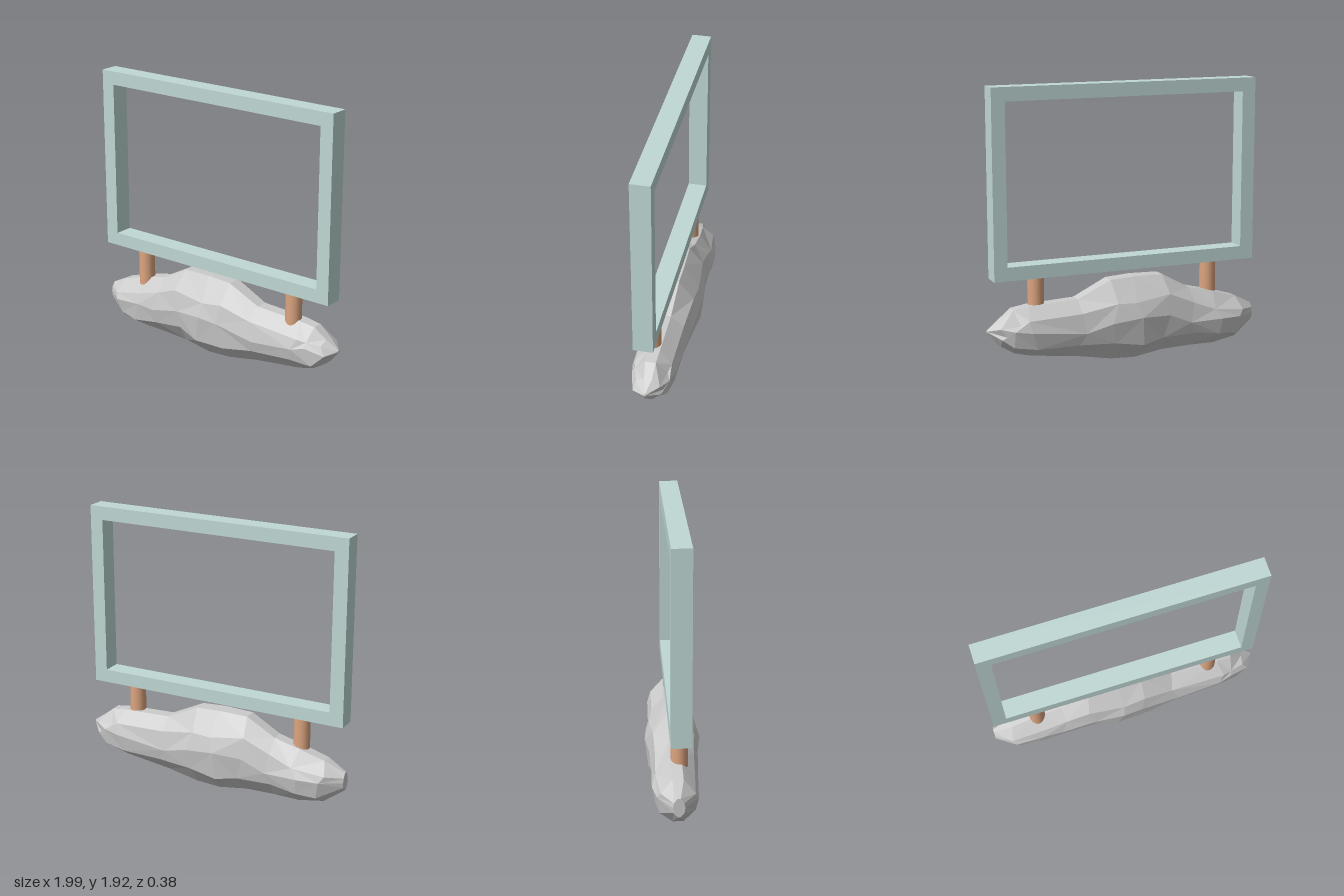
import * as THREE from 'three';

const mat = (color, flatShading = false) => new THREE.MeshStandardMaterial({ color, flatShading });

// Boulder: faceted loft along x through uneven ten-sided sections
function rockGeometry() {
  // x, bottom, top, back z, front z
  const sections = [
    [-0.99, 0.16, 0.29, -0.04, 0.04],
    [-0.85, 0.062, 0.36, -0.135, 0.135],
    [-0.67, 0.036, 0.415, -0.165, 0.145],
    [-0.48, 0.036, 0.46, -0.16, 0.15],
    [-0.27, 0.03, 0.575, -0.17, 0.165],
    [-0.06, 0.0, 0.58, -0.195, 0.19],
    [0.12, 0.008, 0.57, -0.183, 0.178],
    [0.36, 0.052, 0.455, -0.16, 0.155],
    [0.71, 0.097, 0.44, -0.155, 0.15],
    [0.82, 0.125, 0.425, -0.135, 0.128],
    [0.91, 0.18, 0.355, -0.105, 0.095],
    [0.995, 0.275, 0.295, -0.01, 0.01],
  ];
  // Unit outline: z, y
  const half = [[0.27, 1], [0.84, 0.5], [1, 0.02], [0.87, -0.55], [0.27, -1]];
  const ring = [...half, ...half.slice().reverse().map(([z, y]) => [-z, y])];
  const n = ring.length, last = sections.length - 1;
  const pos = [], index = [];
  sections.forEach(([x, lo, hi, back, front], i) => {
    const inner = i > 0 && i < last;
    ring.forEach(([z, y], j) => {
      const shift = inner && Math.abs(y) < 1 ? 0.03 * Math.sin(i * 2.3 + j * 1.9) : 0;
      const lift = inner && Math.abs(y) < 1 ? 0.02 * Math.sin(i * 1.7 + j * 2.6) : 0;
      pos.push(
        x + shift,
        (lo + hi) / 2 + y * (hi - lo) / 2 + lift,
        (front + back) / 2 + z * (front - back) / 2
      );
    });
  });
  for (let i = 0; i < last; i++) {
    for (let j = 0; j < n; j++) {
      const a = i * n + j, b = i * n + (j + 1) % n, c = a + n, d = b + n;
      if ((i + j) % 2) index.push(a, b, c, b, d, c);
      else index.push(a, b, d, a, d, c);
    }
  }
  // End facets
  for (let j = 1; j < n - 1; j++) {
    index.push(0, j + 1, j);
    index.push(last * n, last * n + j, last * n + j + 1);
  }
  const geo = new THREE.BufferGeometry();
  geo.setAttribute('position', new THREE.Float32BufferAttribute(pos, 3));
  geo.setIndex(index);
  const flat = geo.toNonIndexed();
  flat.computeVertexNormals();
  return flat;
}

function rectangle(Type, x0, y0, x1, y1) {
  return new Type([[x0, y0], [x1, y0], [x1, y1], [x0, y1]].map(p => new THREE.Vector2(...p)));
}

export function createModel() {
  const model = new THREE.Group();
  model.name = 'signStand';

  const rock = new THREE.Mesh(rockGeometry(), mat(0xcccccc, true));
  rock.name = 'rockBase';
  model.add(rock);

  // Rectangular open frame
  const outline = rectangle(THREE.Shape, -0.978, 0.63, 0.952, 1.925);
  outline.holes.push(rectangle(THREE.Path, -0.88, 0.724, 0.858, 1.83));
  const frame = new THREE.Mesh(
    new THREE.ExtrudeGeometry(outline, { depth: 0.134, bevelEnabled: false }),
    mat(0xbfd8d5)
  );
  frame.position.z = -0.052;
  frame.name = 'signFrame';
  model.add(frame);

  // Posts sunk into the rock
  const postMaterial = mat(0xdca580);
  [['rightPost', -0.655], ['leftPost', 0.64]].forEach(([name, x]) => {
    const bottom = 0.3, top = 0.632;
    const post = new THREE.Mesh(new THREE.CylinderGeometry(0.057, 0.057, top - bottom, 24), postMaterial);
    post.position.set(x, (bottom + top) / 2, 0.018);
    post.name = name;
    model.add(post);
  });

  return model;
}
